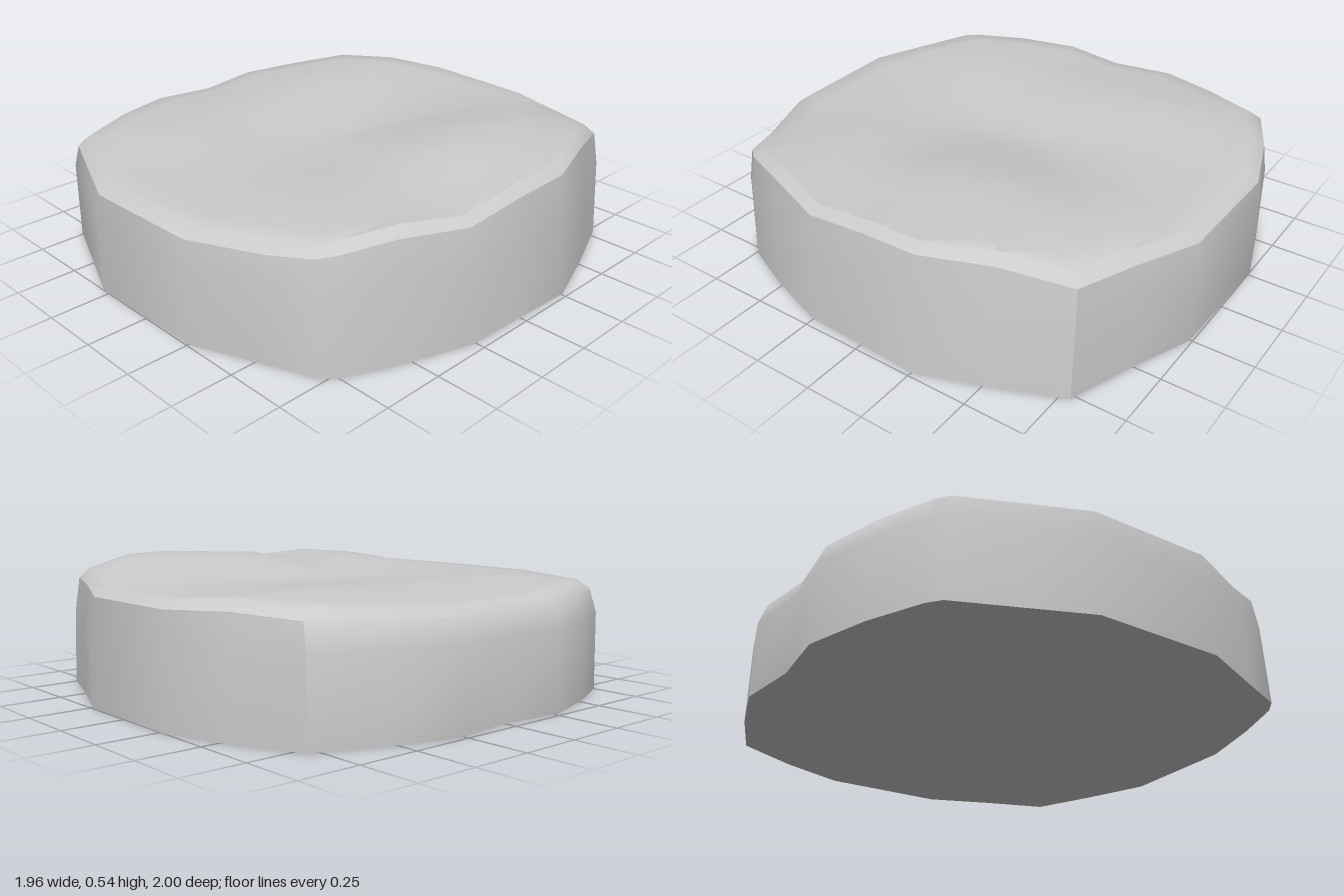
import * as THREE from 'three';
import { toCreasedNormals } from 'three/addons/utils/BufferGeometryUtils.js';

// Footprint, clockwise from the back when seen from above: [x, z]
const OUTLINE = [
  [-0.27, -1], [0.25, -0.99], [0.52, -0.88], [0.77, -0.79], [0.88, -0.53], [0.98, -0.26],
  [0.97, 0], [0.96, 0.26], [0.87, 0.53], [0.78, 0.74], [0.73, 0.8], [0.55, 0.87],
  [0.25, 0.99], [-0.28, 1], [-0.52, 0.9], [-0.76, 0.8], [-0.8, 0.75], [-0.9, 0.53],
  [-0.98, 0.27], [-0.95, 0], [-0.98, -0.28], [-0.9, -0.53], [-0.79, -0.79], [-0.54, -0.91],
];

// Coarse heights of the uneven top, rows along z and columns along x
const XS = [-0.9, -0.5, 0, 0.5, 0.82];
const ZS = [-0.9, -0.53, -0.25, 0, 0.23, 0.5, 0.9];
const HEIGHTS = [
  [0.45, 0.475, 0.45, 0.47, 0.46],
  [0.445, 0.49, 0.45, 0.535, 0.53],
  [0.44, 0.485, 0.45, 0.545, 0.525],
  [0.43, 0.475, 0.445, 0.53, 0.51],
  [0.44, 0.47, 0.445, 0.485, 0.48],
  [0.445, 0.475, 0.45, 0.495, 0.505],
  [0.44, 0.445, 0.445, 0.45, 0.48],
];

// Segment index and eased fraction of v in a sorted list
function locate(list, v) {
  let i = 0;
  while (i < list.length - 2 && v > list[i + 1]) i++;
  const t = THREE.MathUtils.clamp((v - list[i]) / (list[i + 1] - list[i]), 0, 1);
  return [i, THREE.MathUtils.lerp(t, t * t * (3 - 2 * t), 0.5)];
}

function topHeight(x, z) {
  const [i, u] = locate(XS, x);
  const [j, v] = locate(ZS, z);
  const { lerp } = THREE.MathUtils;
  return lerp(lerp(HEIGHTS[j][i], HEIGHTS[j][i + 1], u), lerp(HEIGHTS[j + 1][i], HEIGHTS[j + 1][i + 1], u), v);
}

// Rings from the foot up over the bevelled rim and in to the centre
function stoneGeometry() {
  const rings = [
    { right: 1, left: 1, front: 1, back: 1, y: () => 0 },
    { right: 0.975, left: 0.997, front: 0.998, back: 0.998, y: () => 0.32 },
    { right: 0.95, left: 0.965, front: 0.985, back: 0.985, y: (h) => h - 0.033 },
    { right: 0.91, left: 0.92, front: 0.94, back: 0.94, y: (h) => h },
    ...[0.85, 0.7, 0.55, 0.4, 0.25, 0.12].map((s) => ({ right: s, left: s, front: s, back: s, y: (h) => h })),
  ];
  const n = OUTLINE.length;
  const positions = [];
  const index = [];
  for (const r of rings) {
    for (const [px, pz] of OUTLINE) {
      const x = px * (px > 0 ? r.right : r.left);
      const z = pz * (pz > 0 ? r.front : r.back);
      positions.push(x, r.y(topHeight(x, z)), z);
    }
  }
  for (let k = 0; k < rings.length - 1; k++) {
    for (let i = 0; i < n; i++) {
      const a = k * n + i;
      const b = k * n + (i + 1) % n;
      index.push(a, a + n, b, b, a + n, b + n);
    }
  }
  // Close the underside and the middle of the top
  const bottom = rings.length * n;
  positions.push(0, 0, 0, 0, topHeight(0, 0), 0);
  const last = (rings.length - 1) * n;
  for (let i = 0; i < n; i++) {
    const j = (i + 1) % n;
    index.push(bottom, i, j, bottom + 1, last + j, last + i);
  }
  const geometry = new THREE.BufferGeometry();
  geometry.setAttribute('position', new THREE.Float32BufferAttribute(positions, 3));
  geometry.setIndex(index);
  return toCreasedNormals(geometry, THREE.MathUtils.degToRad(38));
}

export function createModel() {
  const model = new THREE.Group();
  const stone = new THREE.Mesh(stoneGeometry(), new THREE.MeshStandardMaterial({ color: 0xcccccc }));
  stone.name = 'flatStone';
  model.add(stone);
  return model;
}
